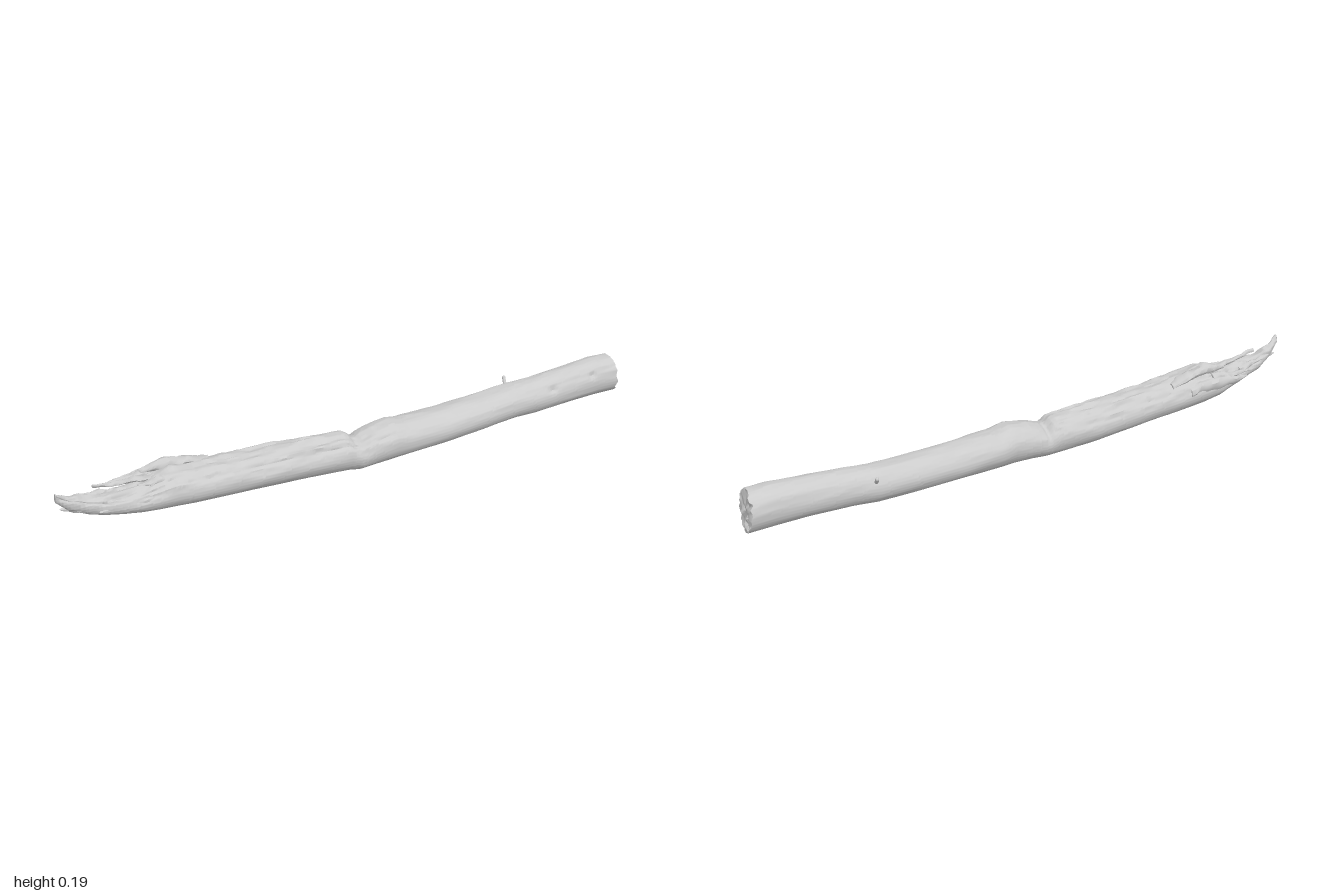
import * as THREE from 'three';
import { toCreasedNormals } from 'three/addons/utils/BufferGeometryUtils.js';

const { lerp, smoothstep, clamp } = THREE.MathUtils;

// Smooth seeded value noise in -1..1
function hash(i, j, k) {
  const s = Math.sin(i * 127.1 + j * 311.7 + k * 74.7) * 43758.5453;
  return (s - Math.floor(s)) * 2 - 1;
}
function noise(x, y, z) {
  const i = Math.floor(x), j = Math.floor(y), k = Math.floor(z);
  const f = t => t * t * (3 - 2 * t);
  const u = f(x - i), v = f(y - j), w = f(z - k);
  const row = (b, c) => lerp(hash(i, b, c), hash(i + 1, b, c), u);
  const slab = c => lerp(row(j, c), row(j + 1, c), v);
  return lerp(slab(k), slab(k + 1), w);
}

// Section at x, from rows of [x, bottom, top, back, front]
function sectionAt(rows, x) {
  let n = 0;
  while (n < rows.length - 2 && x > rows[n + 1][0]) n++;
  const a = rows[n], b = rows[n + 1];
  const t = clamp((x - a[0]) / (b[0] - a[0]), 0, 1);
  return a.map((v, c) => lerp(v, b[c], t));
}

// Closed skin along x through the sections, moved by displace(point, sin, cos, cap)
function loft(rows, steps, sides, displace) {
  const x0 = rows[0][0], x1 = rows[rows.length - 1][0];
  const caps = [0.8, 0.6, 0.4, 0.2, 0.001];
  const rings = [...caps].reverse().map(s => [x0, s]);
  for (let i = 0; i <= steps; i++) rings.push([lerp(x0, x1, i / steps), 1]);
  caps.forEach(s => rings.push([x1, s]));
  const pos = [], index = [], p = new THREE.Vector3();
  rings.forEach(([x, s], i) => {
    const [, bottom, top, back, front] = sectionAt(rows, x);
    for (let j = 0; j < sides; j++) {
      const a = j / sides * Math.PI * 2, sn = Math.sin(a), cs = Math.cos(a);
      p.set(x, (bottom + top) / 2 + s * sn * (top - bottom) / 2,
        (back + front) / 2 + s * cs * (front - back) / 2);
      displace(p, sn, cs, s);
      pos.push(p.x, p.y, p.z);
      if (i === rings.length - 1) continue;
      const k = (j + 1) % sides, A = i * sides, B = A + sides;
      index.push(A + j, B + j, B + k, A + j, B + k, A + k);
    }
  });
  const g = new THREE.BufferGeometry();
  g.setAttribute('position', new THREE.Float32BufferAttribute(pos, 3));
  g.setIndex(index);
  return toCreasedNormals(g, 0.7);
}

// Trunk outline: x, bottom, top, back, front
const TRUNK_LEFT = [
  [-1, .16, .188, .0, .016], [-.96, .12, .168, -.014, .02], [-.9, .09, .145, -.03, .027],
  [-.85, .08, .137, -.036, .042], [-.8, .068, .137, -.05, .05], [-.75, .058, .14, -.062, .055],
  [-.7, .049, .153, -.08, .06], [-.64, .043, .165, -.087, .064], [-.58, .039, .157, -.086, .067],
  [-.4, .028, .146, -.08, .067], [-.2, .013, .136, -.075, .064], [-.06, .006, .13, -.06, .07],
];
const TRUNK_RIGHT = [
  [-.02, .004, .112, -.055, .08], [.03, .007, .13, -.052, .083], [.1, .009, .142, -.05, .084],
  [.15, .011, .131, -.054, .084], [.3, .014, .128, -.056, .082], [.45, .018, .132, -.057, .073],
  [.58, .023, .14, -.058, .066], [.66, .027, .146, -.045, .073], [.8, .034, .156, -.04, .076],
  [.9, .035, .166, -.038, .077], [.975, .034, .163, -.036, .08],
];

// Small knot holes on the front: x, y, radius
const KNOTS = [[.71, .115, .016], [.87, .13, .012]];

function shapeTrunk(p, sn, cs, cap) {
  const { x, y, z } = p;
  const decay = 1 - smoothstep(x, -.1, .1);
  const torn = 1 - smoothstep(x, -.8, -.55);
  const up = smoothstep(sn, -.1, .7);
  // long grain, with deep weathered ridges on the upper left half
  const grain = noise(x * 6, y * 45, z * 45) * .0025 + noise(x * 14 + 9, y * 110, z * 110) * .0012;
  const ridges = noise(x * 11 + 5, y * 60 + 3, z * 75) * .007 + noise(x * 35, y * 120, z * 130) * .003;
  let d = grain * lerp(.5, 1, up) + ridges * up * (.2 + .7 * decay + .3 * torn);
  // bark edge running along the front shoulder
  const crack = sn - .62 - .12 * noise(x * 9, 2.5, 7.5);
  d -= .005 * Math.exp(-((crack / .07) ** 2)) * smoothstep(cs, -.1, .3) * (x < .1 ? 1 : .35);
  // crack across the top
  d -= .007 * Math.exp(-(((x + .03 + z * .15) / .012) ** 2)) * smoothstep(sn, .1, .7);
  for (const [kx, ky, r] of KNOTS) {
    if (cs > 0) d -= .009 * Math.exp(-(((x - kx) / r) ** 2) - ((y - ky) / (r * .6)) ** 2);
  }
  if (cap === 1) { p.y += sn * d; p.z += cs * d; }
  // slanted, lumpy break at the right end
  const end = smoothstep(x, .88, .975);
  p.x += end * (-.15 * (z - .02) - .13 * (y - .1)
    + .008 * noise(y * 45, z * 45, 3) + .005 * noise(y * 95, z * 95, 8));
  p.x = clamp(p.x, -1, 1);
  p.y = Math.max(p.y, 0);
}

// Loose splinters, each a short tapered run of sections
const SPLINTERS = [
  [[-.88, .168, .176, -.014, -.006], [-.83, .153, .167, -.02, -.006], [-.76, .148, .162, -.026, -.004], [-.68, .125, .15, -.04, 0]],
  [[-.79, .118, .126, -.092, -.082], [-.74, .108, .134, -.094, -.076], [-.66, .1, .145, -.093, -.062], [-.56, .09, .132, -.086, -.05]],
  [[-.82, .126, .133, -.07, -.062], [-.76, .122, .14, -.076, -.056], [-.66, .12, .155, -.078, -.04]],
  [[-.72, .153, .162, -.05, -.038], [-.65, .145, .184, -.06, -.022], [-.59, .145, .174, -.06, -.02], [-.5, .125, .15, -.06, -.015]],
  [[-.93, .145, .152, -.034, -.026], [-.88, .128, .143, -.036, -.018], [-.8, .1, .133, -.042, -.01]],
  [[-.985, .128, .134, .001, .008], [-.94, .112, .13, -.002, .014], [-.86, .09, .115, -.005, .03]],
  [[-.88, .105, .112, .03, .037], [-.82, .096, .117, .03, .045], [-.72, .085, .125, .02, .057]],
  [[-.75, .142, .149, .008, .017], [-.68, .135, .157, .004, .03], [-.56, .125, .15, 0, .04]],
];

function shapeSplinter(p, sn, cs, cap) {
  const { x, y, z } = p;
  p.y += .005 * noise(x * 35, z * 60, 4) + .003 * noise(x * 80, y * 90, z * 90);
  p.z += .004 * noise(x * 35, y * 60, 11);
  if (cap < 1) p.x += .004 * noise(y * 150, z * 150, 6);
}

export function createModel() {
  const group = new THREE.Group();
  const wood = new THREE.MeshStandardMaterial({ color: 0xcccccc });
  const add = (name, geometry) => {
    const mesh = new THREE.Mesh(geometry, wood);
    mesh.name = name;
    group.add(mesh);
    return mesh;
  };

  add('trunk', loft([...TRUNK_LEFT, ...TRUNK_RIGHT], 420, 72, shapeTrunk));
  SPLINTERS.forEach((rows, i) => add('splinter' + (i + 1), loft(rows, 24, 10, shapeSplinter)));

  // short broken twig on the back
  const twig = new THREE.CatmullRomCurve3([
    new THREE.Vector3(.59, .105, -.04), new THREE.Vector3(.597, .118, -.058), new THREE.Vector3(.6, .13, -.068),
  ]);
  add('twigStub', new THREE.TubeGeometry(twig, 6, .006, 8));
  const tip = add('twigTip', new THREE.SphereGeometry(.0062, 8, 6));
  tip.position.copy(twig.getPoint(1));

  return group;
}
